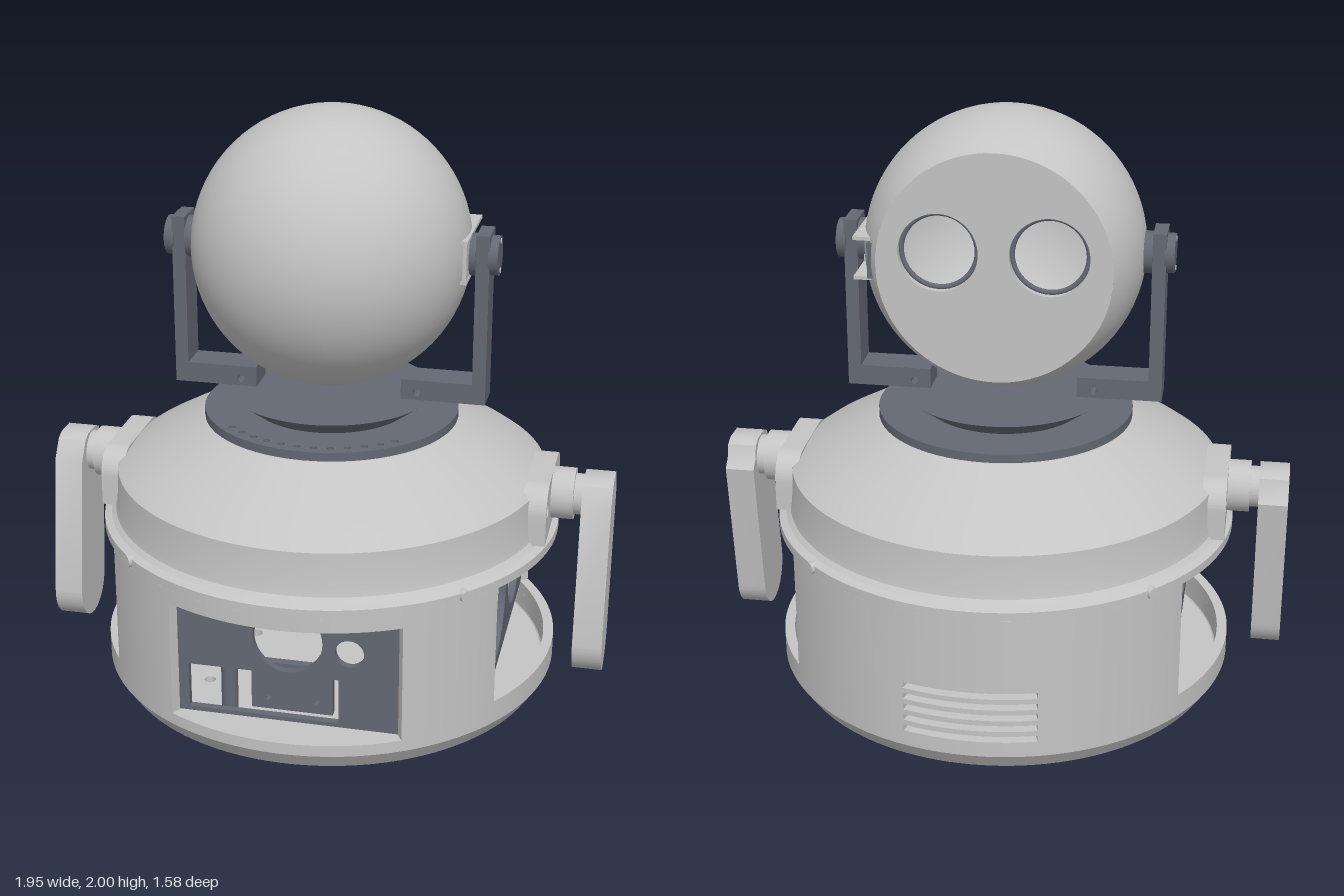
import * as THREE from 'three';
import { toCreasedNormals } from 'three/addons/utils/BufferGeometryUtils.js';

const light = new THREE.MeshStandardMaterial({ color: 0xc4c4c4, side: THREE.DoubleSide });
light.name = 'light grey shell';
const dark = new THREE.MeshStandardMaterial({ color: 0x636873, side: THREE.DoubleSide });
dark.name = 'slate grey hardware';

const V = (x, y) => new THREE.Vector2(x, y);
const PI = Math.PI;

export function createModel() {
  const model = new THREE.Group();
  model.name = 'ballHeadRobot';

  const add = (name, geo, mat, x = 0, y = 0, z = 0) => {
    const m = new THREE.Mesh(geo, mat);
    m.name = name;
    m.position.set(x, y, z);
    model.add(m);
    return m;
  };
  const box = (name, mat, x0, x1, y0, y1, z0, z1) =>
    add(name, new THREE.BoxGeometry(x1 - x0, y1 - y0, z1 - z0), mat, (x0 + x1) / 2, (y0 + y1) / 2, (z0 + z1) / 2);
  const lathe = (name, mat, pts) =>
    add(name, toCreasedNormals(new THREE.LatheGeometry(pts.map(p => V(...p)), 96), 0.35), mat);
  const extrude = (shape, depth) => toCreasedNormals(
    new THREE.ExtrudeGeometry(shape, { depth, bevelEnabled: false, curveSegments: 32 }), 0.5);
  const circle = (x, y, r) => new THREE.Path().absarc(x, y, r, 0, 2 * PI, true);
  const rect = (x0, x1, y0, y1) => new THREE.Shape([V(x0, y0), V(x1, y0), V(x1, y1), V(x0, y1)]);
  // extrude a (-z, y) outline along x, on side s
  const extrudeX = (name, mat, shape, s, x0, x1) =>
    add(name, extrude(shape, x1 - x0).rotateY(PI / 2), mat, s > 0 ? x0 : -x1);
  // flat plate lying in xz
  const plate = (name, mat, shape, y0, y1) =>
    add(name, extrude(shape, y1 - y0).rotateX(-PI / 2), mat, 0, y0);
  const rodX = (name, mat, s, x0, x1, r, y, z = 0) =>
    add(name, new THREE.CylinderGeometry(r, r, x1 - x0, 40).rotateZ(PI / 2), mat, s * (x0 + x1) / 2, y, z);
  // curved wall piece, angle measured from +z towards +x
  const wall = (name, a0, a1, y0, y1) => {
    const s = new THREE.Shape();
    s.absarc(0, 0, 0.79, a0 - PI / 2, a1 - PI / 2, false);
    s.absarc(0, 0, 0.755, a1 - PI / 2, a0 - PI / 2, true);
    return plate(name, light, s, y0, y1);
  };

  // Floor with screw holes, and the lower rim
  const floor = new THREE.Shape().absarc(0, 0, 0.75, 0, 2 * PI, false);
  for (let i = 0; i < 8; i++) {
    const a = i * PI / 4;
    floor.holes.push(circle(0.285 * Math.cos(a), 0.285 * Math.sin(a), 0.026));
    if (i % 2) floor.holes.push(circle(0.5 * Math.cos(a), 0.5 * Math.sin(a), 0.02));
  }
  plate('floor', light, floor, 0, 0.04);
  lathe('lowerRim', light, [[0.75, 0], [0.79, 0.06], [0.79, 0.1], [0.755, 0.1], [0.755, 0.04]]);

  // Walls around one front and two side openings
  const front = 0.509, side0 = 0.965, side1 = 2.177, vent = 0.282;
  const both = (name, a0, a1, y0, y1) => {
    wall(name, a0, a1, y0, y1);
    wall(name, 2 * PI - a1, 2 * PI - a0, y0, y1);
  };
  both('sideSill', front, PI - vent, 0.1, 0.14);
  both('frontPillar', front, side0, 0.14, 0.56);
  both('backWall', side1, PI - vent, 0.14, 0.56);
  wall('frontLintel', -front, front, 0.51, 0.56);

  // Back wall with five vent slots
  for (let k = 0; k <= 5; k++) {
    wall('ventBar', PI - vent, PI + vent, k ? 0.097 + 0.04 * k : 0.1, k < 5 ? 0.115 + 0.04 * k : 0.56);
  }

  // Upper shell
  lathe('dome', light, [[0.755, 0.56], [0.79, 0.56], [0.79, 0.59], [0.765, 0.6], [0.75, 0.615], [0.744, 0.64],
    [0.738, 0.762], [0.69, 0.798], [0.6, 0.85], [0.52, 0.895], [0.44, 0.94], [0.38, 0.94]]);
  for (let i = 0; i < 4; i++) {
    const a = PI / 4 + i * PI / 2;
    const screw = add('shellScrew', new THREE.CylinderGeometry(0.02, 0.02, 0.03, 20).rotateX(PI / 2), light,
      0.785 * Math.sin(a), 0.578, 0.785 * Math.cos(a));
    screw.rotation.y = a;
  }

  // Turntable
  const disc = new THREE.Shape().absarc(0, 0, 0.434, 0, 2 * PI, false);
  for (let i = 0; i < 12; i++) {
    const a = -PI / 2 + (i - 5.5) * 0.14;
    disc.holes.push(circle(0.395 * Math.cos(a), 0.395 * Math.sin(a), 0.012));
  }
  plate('turntableDisc', dark, disc, 0.94, 0.97);
  add('turntableCone', new THREE.CylinderGeometry(0.35, 0.27, 0.06, 80), dark, 0, 1.0, 0);

  // Ball head, cut flat at the back with two eye sockets
  const R = 0.467, cut = 0.265, cy = 1.535;
  add('ball', new THREE.SphereGeometry(R, 80, 48, 0, 2 * PI, 0, Math.acos(-cut / R)).rotateX(PI / 2), light, 0, cy, 0);
  const face = new THREE.Shape().absarc(0, 0, Math.sqrt(R * R - cut * cut), 0, 2 * PI, false);
  for (const s of [-1, 1]) {
    face.holes.push(circle(s * 0.18, 0.05, 0.13));
    add('socketTube', new THREE.CylinderGeometry(0.13, 0.13, 0.05, 48, 1, true).rotateX(PI / 2), light, s * 0.18, cy + 0.05, -0.24);
    add('socketRing', new THREE.TorusGeometry(0.124, 0.009, 10, 48), dark, s * 0.18, cy + 0.05, -0.235);
  }
  add('facePlate', extrude(face, 0.02), light, 0, cy, -cut);

  // Small bracket on one side of the ball
  box('bracketFin', light, 0.37, 0.47, 1.462, 1.474, -0.21, 0.11);
  box('bracketFin', light, 0.37, 0.47, 1.596, 1.608, -0.21, 0.11);
  box('bracketPlate', light, 0.455, 0.468, 1.462, 1.608, -0.06, 0.11);
  box('bracketStop', dark, 0.37, 0.42, 1.475, 1.595, -0.23, -0.21);

  for (const s of [-1, 1]) {
    // Yoke
    const L = new THREE.Shape([[0.25, 1.03], [0.535, 1.03], [0.535, 1.615], [0.49, 1.615], [0.49, 1.1], [0.25, 1.1]]
      .map(([x, y]) => V(s * x, y)));
    L.holes.push(circle(s * 0.305, 1.055, 0.013));
    add('yokeArm', extrude(L, 0.12), dark, 0, 0, -0.06);
    rodX('pivotBoss', dark, s, 0.45, 0.49, 0.07, cy);
    rodX('pivotKnob', dark, s, 0.53, 0.562, 0.066, cy);
    for (const d of [-0.05, 0.05]) rodX('knobScrew', light, s, 0.555, 0.565, 0.009, cy + d);

    // Shoulder flange and joint
    const flange = new THREE.Shape();
    flange.moveTo(-0.21, 0.605);
    flange.lineTo(0.21, 0.605);
    flange.lineTo(0.21, 0.71);
    flange.absarc(0.12, 0.71, 0.09, 0, PI / 2, false);
    flange.absarc(-0.12, 0.71, 0.09, PI / 2, PI, false);
    flange.holes.push(circle(-0.165, 0.715, 0.025), circle(0.165, 0.715, 0.025));
    extrudeX('shoulderFlange', light, flange, s, 0.69, 0.77);
    rodX('shoulderBoss', light, s, 0.77, 0.845, 0.088, 0.713);
    rodX('shoulderNeck', light, s, 0.84, 0.88, 0.07, 0.713);

    // Leg leaning forward, rounded at the foot
    const leg = new THREE.Shape();
    leg.moveTo(0.115, 0.7);
    leg.lineTo(0.085, 0.73);
    leg.lineTo(0.07, 0.775);
    leg.lineTo(0.04, 0.79);
    leg.lineTo(-0.04, 0.79);
    leg.lineTo(-0.07, 0.775);
    leg.lineTo(-0.115, 0.71);
    leg.absarc(-0.065, 0.22, 0.12, PI - 0.14, 2 * PI - 0.14, false);
    extrudeX('leg', light, leg, s, 0.875, 0.975);

    // Side plate with two large round holes
    const sp = rect(-0.45, 0.45, 0.14, 0.56);
    for (const u of [-1, 1]) {
      sp.holes.push(circle(u * 0.207, 0.36, 0.178));
      for (const y of [0.203, 0.51]) sp.holes.push(circle(u * 0.39, y, 0.03));
    }
    extrudeX('sidePlate', dark, sp, s, 0.6, 0.625);
  }

  // Front panel and the parts behind it
  const panel = rect(-0.385, 0.385, 0.1, 0.51);
  panel.holes.push(circle(0, 0.4, 0.116), circle(0.205, 0.375, 0.048));
  panel.holes.push(rect(-0.335, 0.17, 0.115, 0.275));
  add('frontPanel', extrude(panel, 0.025), dark, 0, 0, 0.63);
  const board = rect(-0.14, 0.135, 0.1, 0.275);
  for (const x of [-0.085, 0.08]) for (const y of [0.14, 0.245]) board.holes.push(circle(x, y, 0.01));
  add('controlBoard', extrude(board, 0.03), dark, 0, 0, 0.56);
  for (const [x, z, r, top] of [[-0.235, 0.52, 0.028, 0.27], [-0.3, -0.315, 0.028, 0.34],
    [0.28, 0.25, 0.012, 0.26], [0.28, -0.25, 0.012, 0.26]]) {
    add('post', new THREE.CylinderGeometry(r, r, top - 0.04, 24), dark, x, (top + 0.04) / 2, z);
  }

  return model;
}
